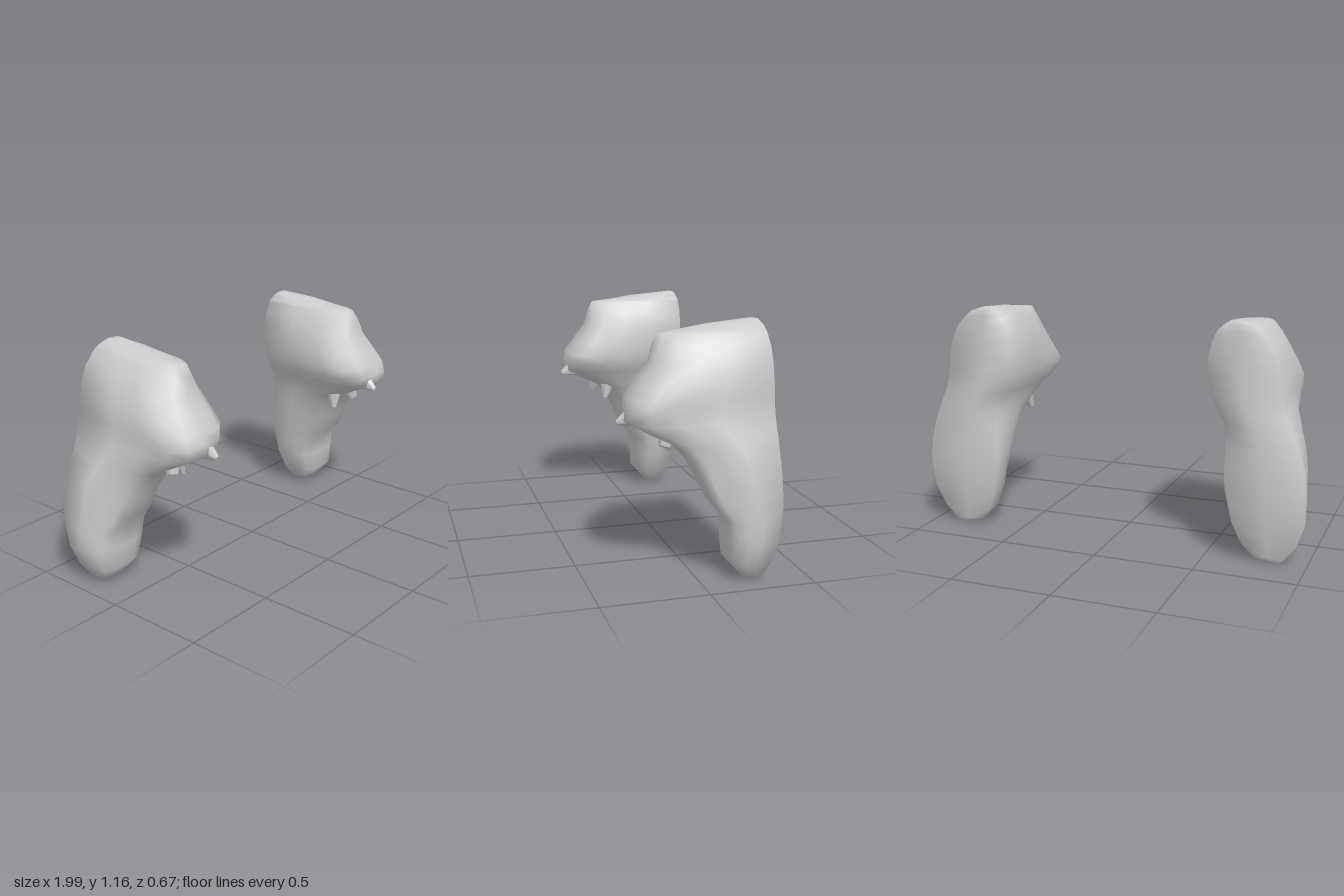
import * as THREE from 'three';

// Layers from sole to crown:
// y, inner x, outer x, back z, front z, squareness of the front, inset of the inner back edge
const LAYERS = [
  [0.002, 0.78, 0.87, -0.28, -0.25, 0.4, 0],
  [0.02, 0.735, 0.89, -0.287, -0.195, 0.5, 0],
  [0.09, 0.675, 0.945, -0.303, -0.133, 0.5, 0],
  [0.2, 0.63, 0.988, -0.322, -0.128, 0.4, 0],
  [0.29, 0.612, 0.997, -0.329, -0.114, 0.3, 0],
  [0.37, 0.598, 1.0, -0.334, -0.05, 0.1, 0],
  [0.47, 0.58, 0.985, -0.335, 0.0, 0.1, 0.015],
  [0.56, 0.565, 0.96, -0.335, 0.045, 0.1, 0.035],
  [0.63, 0.55, 0.935, -0.335, 0.11, 0.2, 0.05],
  [0.69, 0.53, 0.91, -0.335, 0.235, 0.2, 0.058],
  [0.73, 0.505, 0.893, -0.335, 0.31, 0.25, 0.058],
  [0.78, 0.49, 0.88, -0.335, 0.3, 0.7, 0.045],
  [0.83, 0.482, 0.872, -0.335, 0.285, 0.8, 0.032],
  [0.9, 0.48, 0.865, -0.335, 0.237, 0.55, 0.022],
  [0.99, 0.49, 0.842, -0.335, 0.182, 0.3, 0.016],
  [1.06, 0.515, 0.81, -0.335, 0.172, 0.05, 0.01],
  [1.115, 0.55, 0.76, -0.334, 0.147, 0, 0],
  [1.125, 0.56, 0.75, -0.333, 0.04, 0, 0],
  [1.143, 0.58, 0.725, -0.331, -0.07, 0, 0],
  [1.163, 0.61, 0.67, -0.325, -0.29, 0, 0],
];

// Half section from the middle of the back to the middle of the front (side, depth)
const ROUND = [[0, 0], [0.98, 0], [0.98, 0.38], [0.87, 0.65], [0.68, 0.84], [0.36, 0.97], [0, 1]];
const SQUARE = [[0, 0], [0.95, 0], [1, 0.4], [1, 0.7], [0.98, 0.92], [0.6, 0.995], [0, 1]];

// The outer side draws in towards the front
function outerLimit(z) {
  const stops = [[-0.335, 1], [-0.2, 0.97], [-0.1, 0.895], [0, 0.868], [0.4, 0.84]];
  for (let i = 1; i < stops.length; i++) {
    const [z0, x0] = stops[i - 1], [z1, x1] = stops[i];
    if (z <= z1) return x0 + (x1 - x0) * Math.max(0, (z - z0) / (z1 - z0));
  }
  return 0.84;
}

function section([y, xin, xout, zb, zf, k, inset]) {
  const half = ROUND.map(([u, v], i) => [u + (SQUARE[i][0] - u) * k, v + (SQUARE[i][1] - v) * k]);
  const loop = [...half, ...half.slice(1, -1).reverse().map(([u, v]) => [-u, v])];
  const cx = (xin + xout) / 2, hw = (xout - xin) / 2;
  return loop.map(([u, v]) => {
    const z = zb + (zf - zb) * v;
    const x = cx + hw * u + inset * Math.max(0, -u) * Math.max(0, 1 - 2 * v);
    return [Math.min(x, outerLimit(z)), y, z];
  });
}

// Closed smooth loft; side = -1 mirrors it
function bodyGeometry(side) {
  const rings = LAYERS.map(section), n = rings[0].length, pos = [], idx = [];
  const tri = (a, b, c) => (side > 0 ? idx.push(a, b, c) : idx.push(a, c, b));
  rings.flat().forEach(([x, y, z]) => pos.push(x * side, y, z));
  for (let r = 0; r < rings.length - 1; r++) {
    for (let i = 0; i < n; i++) {
      const a = r * n + i, b = r * n + (i + 1) % n;
      tri(a, a + n, b);
      tri(b, a + n, b + n);
    }
  }
  const top = (rings.length - 1) * n;
  for (let i = 1; i < n - 1; i++) {
    tri(0, i, i + 1);
    tri(top, top + i + 1, top + i);
  }
  const g = new THREE.BufferGeometry();
  g.setAttribute('position', new THREE.Float32BufferAttribute(pos, 3));
  g.setIndex(idx);
  g.computeVertexNormals();
  return g;
}

// Small tapered spur from base to tip
function spur(name, base, tip, r0, r1, side, material) {
  const a = new THREE.Vector3(base[0] * side, base[1], base[2]);
  const b = new THREE.Vector3(tip[0] * side, tip[1], tip[2]);
  const d = b.clone().sub(a);
  const mesh = new THREE.Mesh(new THREE.CylinderGeometry(r1, r0, d.length(), 7), material);
  mesh.position.copy(a).addScaledVector(d, 0.5);
  mesh.quaternion.setFromUnitVectors(new THREE.Vector3(0, 1, 0), d.normalize());
  mesh.name = name;
  return mesh;
}

export function createModel() {
  const grey = new THREE.MeshStandardMaterial({ color: 0xcccccc });
  grey.name = 'plain grey';
  const model = new THREE.Group();
  model.name = 'pair';
  for (const side of [1, -1]) {
    const half = new THREE.Group();
    half.name = side > 0 ? 'leftPiece' : 'rightPiece';
    const body = new THREE.Mesh(bodyGeometry(side), grey);
    body.name = 'body';
    half.add(
      body,
      // Ragged lip and the spurs hanging below it
      spur('lipTip', [0.65, 0.75, 0.24], [0.64, 0.715, 0.33], 0.06, 0.012, side, grey),
      spur('innerSpur', [0.64, 0.66, 0.06], [0.61, 0.565, 0.085], 0.05, 0.012, side, grey),
      spur('outerSpur', [0.7, 0.7, 0.1], [0.725, 0.61, 0.13], 0.055, 0.03, side, grey),
    );
    model.add(half);
  }
  return model;
}
